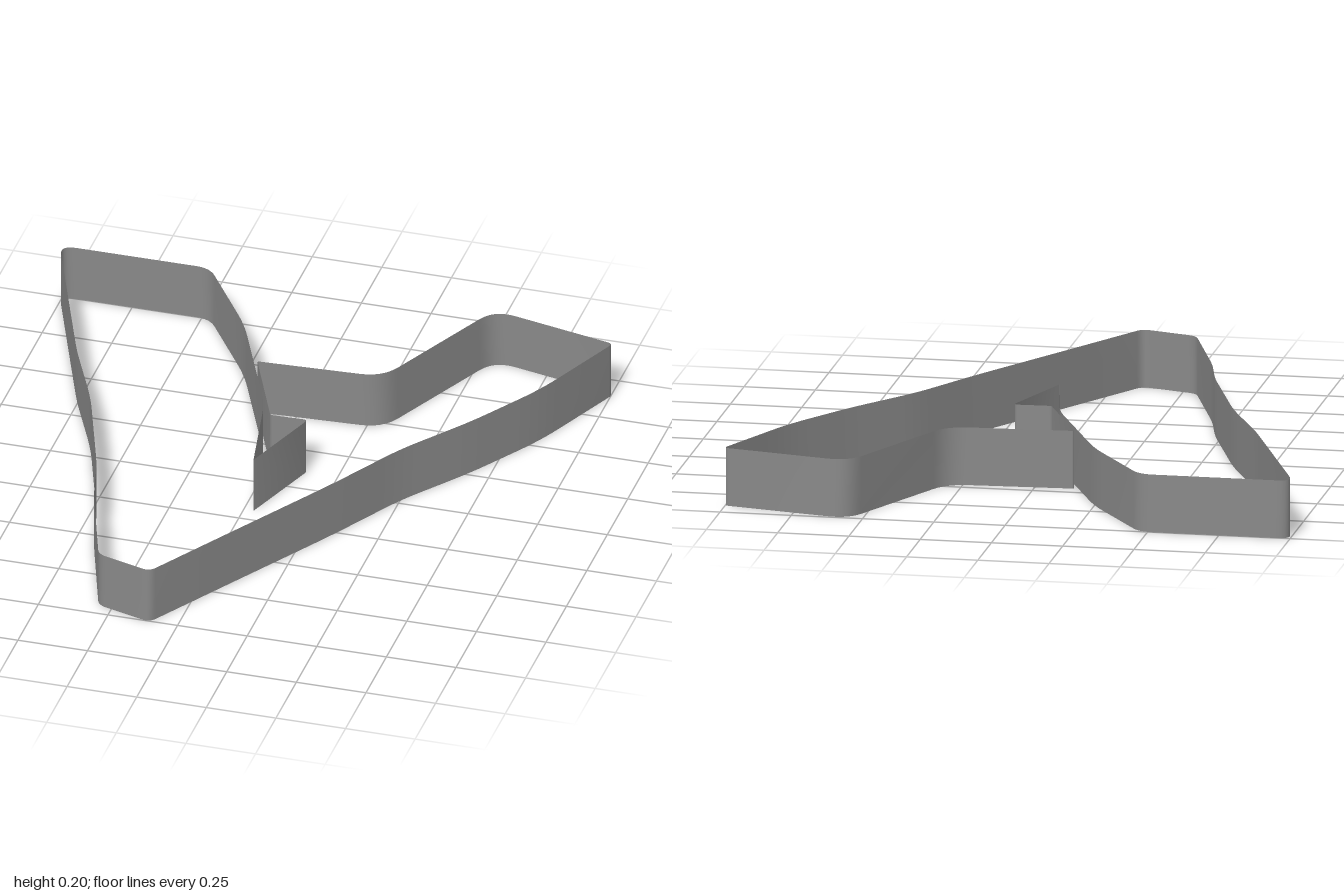
import * as THREE from 'three';
import { toCreasedNormals } from 'three/addons/utils/BufferGeometryUtils.js';

const HEIGHT = 0.205;

// Plan corners of the closed band: x, z, corner rounding
const CORNERS = [
  [-0.1, 1.005, 0.03], [0.1, 0.67, 0.1], [0.34, 0.27, 0.1], [0.5, -0.02, 0.08], [0.68, -0.265, 0.08],
  [0.85, -0.54, 0.1], [1.005, -0.905, 0.02], [0.55, -1.005, 0.08], [0.305, -0.47, 0.08],
  [-0.138, -0.447, 0.01], [0.006, -0.115, 0.01], [0.14, -0.12, 0.02], [0.035, 0.19, 0.005],
  [-0.035, -0.18, 0.06], [-0.25, -0.67, 0.08], [-0.47, -1.0, 0.05], [-1.01, -1.0, 0.06],
  [-0.755, -0.34, 0.06], [-0.62, -0.05, 0.08], [-0.475, 0.37, 0.06], [-0.43, 0.56, 0.06],
  [-0.3, 0.945, 0.03],
];

// Closed outline with every corner eased by a quadratic curve
function roundedOutline(corners) {
  const n = corners.length;
  const at = (i) => new THREE.Vector2(corners[(i + n) % n][0], corners[(i + n) % n][1]);
  const points = [];
  for (let i = 0; i < n; i++) {
    const p = at(i), r = corners[i][2];
    const toward = (q) => p.clone().add(q.sub(p).setLength(r));
    points.push(...new THREE.QuadraticBezierCurve(toward(at(i - 1)), p, toward(at(i + 1))).getPoints(6));
  }
  return points;
}

// Thin upright wall following the outline
function wallGeometry(outline, height) {
  const positions = [], index = [], n = outline.length;
  outline.forEach((p, i) => {
    positions.push(p.x, 0, p.y, p.x, height, p.y);
    const a = 2 * i, b = 2 * ((i + 1) % n);
    index.push(a, b, b + 1, a, b + 1, a + 1);
  });
  const geometry = new THREE.BufferGeometry();
  geometry.setAttribute('position', new THREE.Float32BufferAttribute(positions, 3));
  geometry.setIndex(index);
  return toCreasedNormals(geometry, Math.PI / 5);
}

export function createModel() {
  const group = new THREE.Group();
  group.name = 'outlineBand';
  const material = new THREE.MeshStandardMaterial({ color: 0x888888, side: THREE.DoubleSide });
  const wall = new THREE.Mesh(wallGeometry(roundedOutline(CORNERS), HEIGHT), material);
  wall.name = 'bandWall';
  group.add(wall);
  return group;
}
